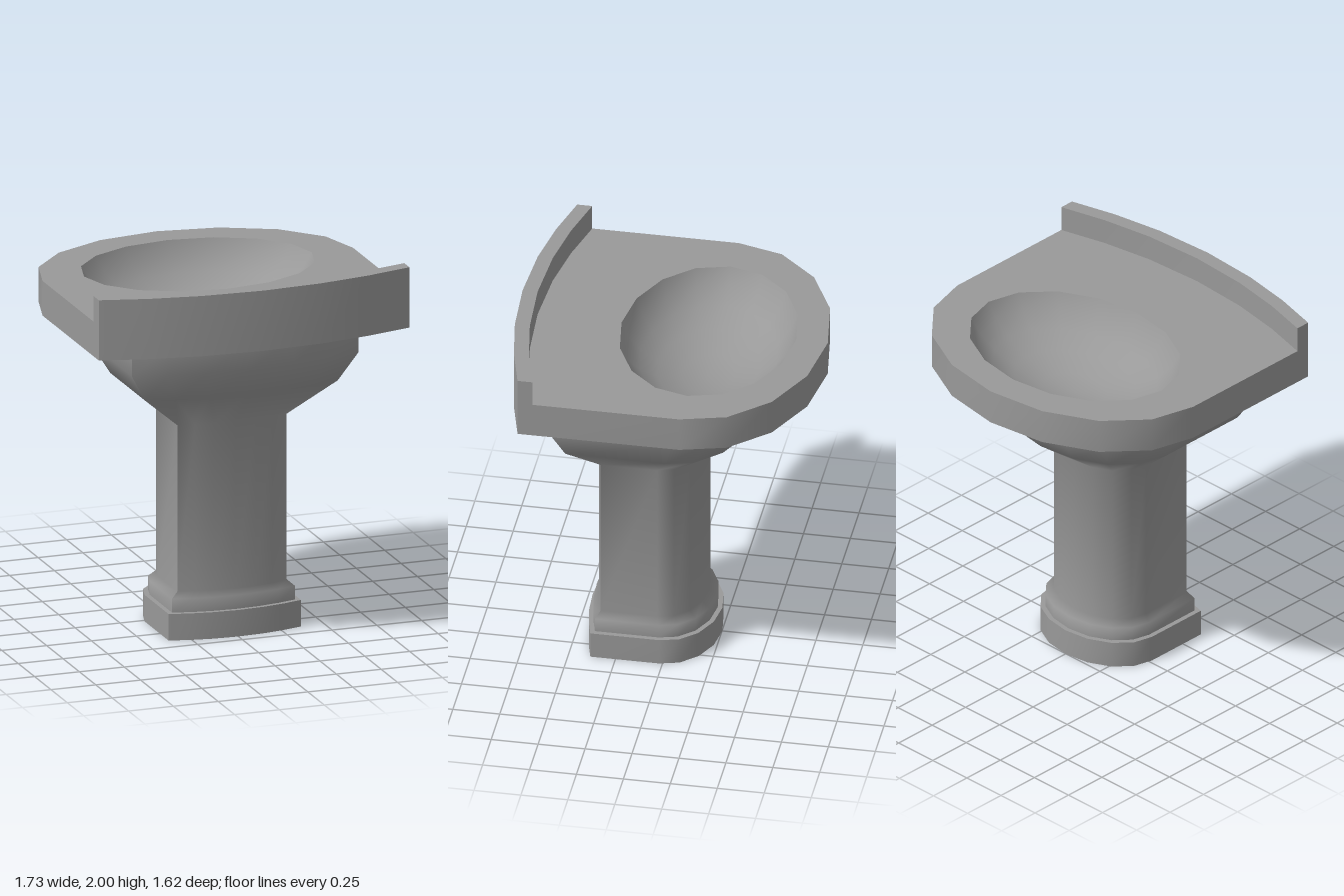
import * as THREE from 'three';
import { mergeVertices } from 'three/addons/utils/BufferGeometryUtils.js';

const material = new THREE.MeshStandardMaterial({ color: 0x999999, side: THREE.DoubleSide });
const UNDER = 1.67, RIM = 1.86, TOP = 2;
const HALF = 0.866;

// Elliptical arc in plan as [x, z], counter-clockwise seen from above
function arc(rx, rz, cz, steps, sweep) {
  return Array.from({ length: steps + 1 }, (_, i) => {
    const t = (i / steps) * sweep;
    return [rx * Math.cos(t), cz - rz * Math.sin(t)];
  });
}

// Plan shared by slab, bowl and pedestal: a bowed wall edge, and a rounded edge round the rest
const wallEdge = [-1, -0.707, -0.383, 0, 0.383, 0.707, 1].map((u) => [u * HALF, 0.812 - 0.132 * u * u]);
const roundEdge = [wallEdge[6], ...arc(HALF, 0.633, -0.18, 8, Math.PI), wallEdge[0]];
const plan = [...roundEdge.slice(0, -1), ...wallEdge.slice(0, -1)];
const scaled = (points, s, cz) => points.map(([x, z]) => [x * s, z * s + cz]);
const basinRing = (k) => arc(0.635 * k, 0.465 * k, -0.18, 16, Math.PI * 2);

// Smooth skin through rows of points, given as [y, points]
function skin(rows) {
  const pos = [], index = [];
  const w = rows[0][1].length;
  rows.forEach(([y, points]) => points.forEach(([x, z]) => pos.push(x, y, z)));
  for (let j = 0; j < rows.length - 1; j++) {
    for (let i = 0; i < w - 1; i++) {
      const a = j * w + i, d = a + w;
      index.push(a, a + 1, d + 1, a, d + 1, d);
    }
  }
  let g = new THREE.BufferGeometry();
  g.setAttribute('position', new THREE.Float32BufferAttribute(pos, 3));
  g.setIndex(index);
  g = mergeVertices(g);
  g.computeVertexNormals();
  return g;
}

// Level face turned up or down, with an optional opening
function flat(points, y, up, hole) {
  const vec = (pts) => pts.map(([x, z]) => new THREE.Vector2(x, up ? -z : z));
  const shape = new THREE.Shape(vec(points));
  if (hole) shape.holes.push(new THREE.Path(vec(hole)));
  return new THREE.ShapeGeometry(shape).rotateX(up ? -Math.PI / 2 : Math.PI / 2).translate(0, y, 0);
}

function addGroup(parent, name) {
  const group = new THREE.Group();
  group.name = name;
  parent.add(group);
  return group;
}

function add(parent, name, geometry) {
  const mesh = new THREE.Mesh(geometry, material);
  mesh.name = name;
  parent.add(mesh);
}

// Body following the plan through levels [y, scale, offset z], with sharp wall corners
function addBody(parent, name, levels) {
  const group = addGroup(parent, name);
  const rows = (edge) => levels.map(([y, s, cz]) => [y, scaled(edge, s, cz)]);
  add(group, name + 'Round', skin(rows(roundEdge)));
  add(group, name + 'Wall', skin(rows(wallEdge)));
}

export function createModel() {
  const model = addGroup(new THREE.Group(), 'pedestalSink');
  model.removeFromParent();

  // Slab with an oval opening above and the bowl meeting it below
  const slab = addGroup(model, 'slab');
  add(slab, 'slabEdge', skin([[UNDER, roundEdge], [RIM, roundEdge]]));
  add(slab, 'slabTop', flat(plan, RIM, true, basinRing(1).slice(1)));
  add(slab, 'slabUnderside', flat(plan, UNDER, false, scaled(plan, 0.73, 0.046)));

  // Wall face of the slab, rising into the raised strip
  const splash = addGroup(model, 'backsplash');
  const inner = wallEdge.map(([x, z]) => [x, z - 0.08]).reverse();
  add(splash, 'wallFace', skin([[UNDER, wallEdge], [TOP, wallEdge]]));
  add(splash, 'splashFace', skin([[RIM, inner], [TOP, inner]]));
  add(splash, 'splashTop', flat([...wallEdge, ...inner], TOP, true));
  [[wallEdge[6], inner[0]], [inner[6], wallEdge[0]]].forEach((end) =>
    add(splash, 'splashEnd', skin([[RIM, end], [TOP, end]])));

  // Shallow oval hollow: [size, depth]
  const basin = [[1, 0], [0.92, 0.08], [0.78, 0.155], [0.58, 0.22], [0.3, 0.265], [0, 0.28]];
  add(model, 'basin', skin(basin.map(([k, depth]) => [RIM - depth, basinRing(k)])));

  // Open foot, its ledge, then collar, column and bowl in one sweep
  addBody(model, 'foot', [[0, 0.426, 0.094], [0.145, 0.426, 0.094]]);
  addBody(model, 'footLedge', [[0.145, 0.426, 0.094], [0.145, 0.396, 0.095]]);
  addBody(model, 'columnAndBowl', [
    [0.145, 0.396, 0.095], [0.22, 0.396, 0.095], [0.25, 0.352, 0.102], [1.16, 0.352, 0.102],
    [1.36, 0.62, 0.065], [1.52, 0.73, 0.046], [UNDER, 0.73, 0.046],
  ]);

  return model;
}
